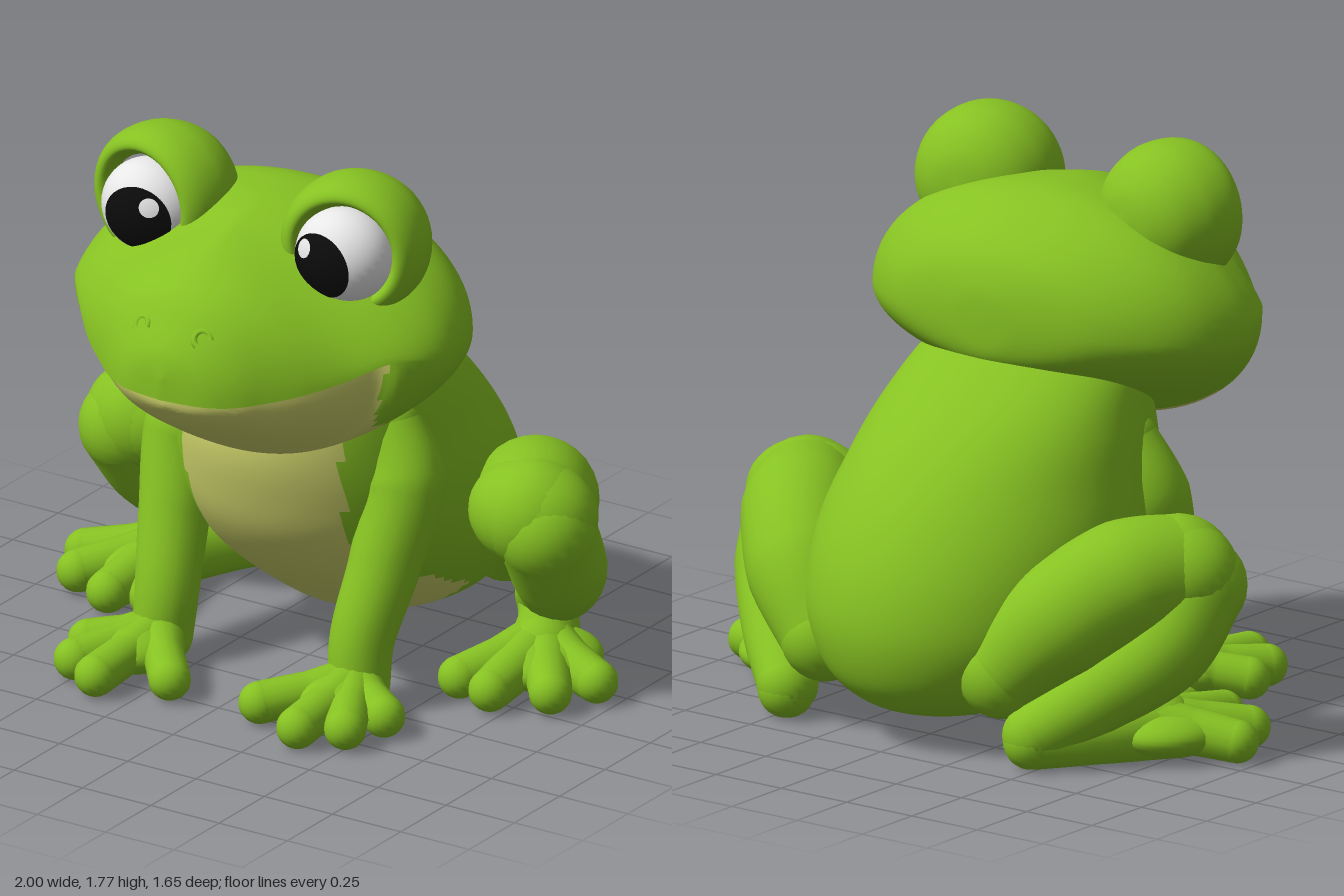
import * as THREE from 'three';
import { mergeGeometries, mergeVertices, toCreasedNormals } from 'three/addons/utils/BufferGeometryUtils.js';

const material = (name, color) => {
  const m = new THREE.MeshStandardMaterial({ color });
  m.name = name;
  return m;
};

// Smoothly resample a table of cross-section rows
function resample(rows, steps) {
  const size = rows[0].length;
  const spline = new THREE.CubicInterpolant(
    new Float32Array(rows.map((_, i) => i)), new Float32Array(rows.flat()), size);
  const count = (rows.length - 1) * steps;
  return Array.from({ length: count + 1 }, (_, i) => Array.from(spline.evaluate(i / steps)));
}

// Skin closed rings of points; isPale(centre, column) picks the second material
function loft(rings, isPale) {
  const n = rings[0].length;
  const faces = [[], []];
  for (let i = 0; i < rings.length - 1; i++) {
    for (let j = 0; j < n; j++) {
      const k = (j + 1) % n;
      const centre = rings[i][j].clone().add(rings[i + 1][k]).multiplyScalar(0.5);
      const a = i * n + j, b = i * n + k;
      faces[isPale(centre, j) ? 1 : 0].push(a, b, b + n, a, b + n, a + n);
    }
  }
  const g = new THREE.BufferGeometry().setFromPoints(rings.flat());
  g.setIndex([...faces[0], ...faces[1]]);
  g.addGroup(0, faces[0].length, 0);
  g.addGroup(faces[0].length, faces[1].length, 1);
  g.computeVertexNormals();
  return g;
}

// Rounded, tapering limb through [x, y, z, radius] points, flattened at the floor
function limb(points, sides = 20) {
  const at = points.map(p => new THREE.Vector3(p[0], p[1], p[2]));
  const curve = new THREE.CatmullRomCurve3(at);
  const segs = points.length * 8;
  const tube = new THREE.TubeGeometry(curve, segs, 1, sides);
  const pos = tube.attributes.position, v = new THREE.Vector3();
  for (let i = 0; i <= segs; i++) {
    const c = curve.getPointAt(i / segs);
    const t = curve.getUtoTmapping(i / segs) * (points.length - 1);
    const k = Math.min(Math.floor(t), points.length - 2);
    const r = THREE.MathUtils.lerp(points[k][3], points[k + 1][3], t - k);
    for (let j = 0; j <= sides; j++) {
      const id = i * (sides + 1) + j;
      v.fromBufferAttribute(pos, id).sub(c).multiplyScalar(r).add(c);
      pos.setXYZ(id, v.x, v.y, v.z);
    }
  }
  const ends = [0, points.length - 1].map(i =>
    new THREE.SphereGeometry(points[i][3], sides, 14).translate(at[i].x, at[i].y, at[i].z));
  let g = mergeGeometries([tube, ...ends]);
  g.deleteAttribute('uv');
  g.deleteAttribute('normal');
  const p = g.attributes.position;
  for (let i = 0; i < p.count; i++) p.setY(i, Math.max(0, p.getY(i)));
  g = mergeVertices(g, 1e-5);
  g.computeVertexNormals();
  return g;
}

export function createModel() {
  const green = material('skin green', 0x86c122);
  const pale = material('belly yellow', 0xcdd26a);
  const white = material('eye white', 0xeeeeee);
  const black = material('pupil black', 0x0b0b0b);
  const model = new THREE.Group();
  model.name = 'frog';
  const add = (name, geometry, mat, parent = model) => {
    const mesh = new THREE.Mesh(geometry, mat);
    mesh.name = name;
    parent.add(mesh);
    return mesh;
  };
  const smooth = THREE.MathUtils.smoothstep;

  // Body: rows of y, front z, back z, half width
  const bodyRows = resample([
    [0.075, -0.4, -0.42, 0], [0.085, -0.26, -0.58, 0.15], [0.125, -0.13, -0.7, 0.27],
    [0.21, 0.0, -0.785, 0.38], [0.35, 0.17, -0.825, 0.47], [0.5, 0.29, -0.81, 0.5],
    [0.65, 0.35, -0.75, 0.495], [0.8, 0.38, -0.65, 0.46], [0.95, 0.36, -0.5, 0.42],
    [1.1, 0.3, -0.28, 0.36], [1.2, 0.2, -0.12, 0.25]], 6);
  const around = 96;
  const bodyRings = bodyRows.map(([y, front, back, w]) => Array.from({ length: around }, (_, j) => {
    const a = j / around * Math.PI * 2;
    return new THREE.Vector3(Math.cos(a) * w, y, (front + back) / 2 - Math.sin(a) * (front - back) / 2);
  }));
  const onBelly = (c, j) => j >= around / 2 && c.z > -0.3 - Math.max(0, 0.15 - c.y)
    && Math.abs(c.x) < 0.29 + 0.1 * (1 - smooth(c.y, 0.28, 0.5));
  add('body', loft(bodyRings, onBelly), [green, pale]);

  // Head: rows of z, half width, top, bottom, mouth height, roundness
  const headRows = resample([
    [-0.25, 0, 1.26, 1.24, 1.25, 2], [-0.24, 0.15, 1.36, 1.14, 1.25, 2],
    [-0.19, 0.36, 1.465, 1.09, 1.24, 2], [-0.08, 0.53, 1.555, 1.04, 1.23, 2],
    [0.05, 0.63, 1.61, 0.98, 1.22, 2], [0.2, 0.665, 1.615, 0.91, 1.22, 1.8],
    [0.32, 0.64, 1.6, 0.855, 1.235, 1.5], [0.42, 0.575, 1.57, 0.835, 1.245, 1.35],
    [0.52, 0.49, 1.535, 0.88, 1.205, 1.5], [0.62, 0.395, 1.49, 0.94, 1.17, 1.8],
    [0.7, 0.3, 1.44, 0.99, 1.148, 2], [0.76, 0.225, 1.36, 1.035, 1.137, 2],
    [0.805, 0.135, 1.28, 1.085, 1.135, 2], [0.825, 0, 1.2, 1.115, 1.135, 2]], 6);
  const half = 40;
  const headRings = headRows.map(([z, w, top, bottom, mid, e]) => {
    const inset = 0.03 * smooth(z, 0.38, 0.46);
    const ring = [];
    for (let j = 0; j <= half; j++) {
      const a = j / half * Math.PI, c = Math.cos(a);
      ring.push(new THREE.Vector3(Math.sign(c) * Math.abs(c) ** (2 / e) * w,
        mid + Math.abs(Math.sin(a)) ** (2 / e) * (top - mid), z));
    }
    // The lower jaw sits just inside the upper lip
    for (let j = 0; j <= half; j++) {
      const a = Math.PI * (1 + j / half);
      ring.push(new THREE.Vector3(Math.cos(a) * w * (1 - inset),
        mid - inset * 0.3 + Math.sin(a) * (mid - bottom), z - inset));
    }
    return ring;
  });
  const onChin = (c, j) => j > half && j < 2 * half + 1
    && Math.abs(c.x) < 0.56 - Math.max(0, 1.22 - c.y) * 0.3
    && c.z > 0.3 + Math.max(0, c.y - 1.05) * 0.45;
  add('head', toCreasedNormals(loft(headRings, onChin), 1), [green, pale]);

  // Eye hood: a dome at the back that curls in around the eyeball at the front
  const hoodProfile = new THREE.SplineCurve([[0, -0.18], [0.1, -0.162], [0.18, -0.108], [0.222, -0.03],
    [0.232, 0.04], [0.224, 0.1], [0.2, 0.138], [0.17, 0.142], [0.145, 0.1]]
    .map(p => new THREE.Vector2(...p))).getPoints(40);
  const hoodShape = new THREE.LatheGeometry(hoodProfile, 48).rotateX(Math.PI / 2);

  for (const s of [1, -1]) {
    const side = s > 0 ? 'left' : 'right';
    const mirror = points => points.map(([x, y, z, r]) => [x * s, y, z, r]);
    const pad = (name, x, y, z, rx, ry, rz) => {
      const mesh = add(side + name, new THREE.SphereGeometry(1, 32, 20), green);
      mesh.position.set(s * x, y, z);
      mesh.scale.set(rx, ry, rz);
    };

    // Eye: hood, eyeball, pupil and glint
    const hood = add(side + 'EyeHood', hoodShape, green);
    hood.position.set(s * 0.345, 1.545, 0.23);
    hood.rotation.y = s * 0.18;
    hood.scale.y = 0.97;
    const eye = new THREE.Group();
    eye.name = side + 'Eye';
    eye.position.set(s * 0.355, 1.53, 0.335);
    eye.scale.set(0.158, 0.148, 0.14);
    model.add(eye);
    add(side + 'Eyeball', new THREE.SphereGeometry(1, 36, 24), white, eye);
    const cap = (name, radius, angle, mat, x, y, z) => {
      const mesh = add(side + name, new THREE.SphereGeometry(radius, 32, 10, 0, Math.PI * 2, 0, angle), mat, eye);
      mesh.quaternion.setFromUnitVectors(new THREE.Vector3(0, 1, 0), new THREE.Vector3(x, y, z).normalize());
    };
    cap('Pupil', 1.015, 0.77, black, -s * 0.17, -0.07, 1);
    cap('Glint', 1.03, 0.2, white, -s * 0.44, 0.29, 0.84);

    // Nostril rim
    const nostril = add(side + 'Nostril', new THREE.TorusGeometry(0.026, 0.011, 8, 20, Math.PI * 1.3), green);
    nostril.position.set(s * 0.11, 1.335, 0.752);
    nostril.lookAt(s * 0.4, 1.9, 1.5);

    // Front leg with four webbed fingers
    add(side + 'FrontLeg', limb(mirror([[0.33, 0.87, 0.05, 0.1], [0.4, 0.7, 0.075, 0.128],
      [0.385, 0.45, 0.16, 0.112], [0.357, 0.22, 0.245, 0.1], [0.36, 0.08, 0.265, 0.095]])), green);
    pad('Palm', 0.37, 0.075, 0.37, 0.13, 0.075, 0.15);
    for (const [x, z] of [[0.54, 0.4], [0.495, 0.545], [0.37, 0.62], [0.165, 0.52]]) {
      add(side + 'Finger', limb(mirror([[0.36, 0.09, 0.29, 0.085],
        [(0.36 + x) / 2, 0.08, (0.29 + z) / 2, 0.064], [x, 0.064, z, 0.066]]), 16), green);
    }

    // Hind leg: thigh, broad knee, shin, foot and four webbed toes
    add(side + 'Thigh', limb(mirror([[0.34, 0.27, -0.58, 0.14], [0.48, 0.43, -0.49, 0.185],
      [0.62, 0.55, -0.32, 0.195], [0.71, 0.57, -0.18, 0.175]]), 28), green);
    pad('Knee', 0.7, 0.57, -0.185, 0.21, 0.17, 0.175);
    add(side + 'Shin', limb(mirror([[0.765, 0.53, -0.16, 0.155], [0.73, 0.36, -0.28, 0.15],
      [0.61, 0.22, -0.45, 0.12], [0.47, 0.1, -0.6, 0.095]]), 24), green);
    add(side + 'Foot', limb(mirror([[0.47, 0.085, -0.605, 0.09], [0.58, 0.085, -0.45, 0.095],
      [0.69, 0.09, -0.25, 0.11]])), green);
    pad('Sole', 0.72, 0.08, -0.22, 0.17, 0.08, 0.2);
    for (const [x, z] of [[0.935, -0.18], [0.865, -0.03], [0.7, 0.055], [0.565, 0.02]]) {
      add(side + 'Toe', limb(mirror([[0.67, 0.1, -0.29, 0.095],
        [(0.68 + x) / 2, 0.085, (z - 0.27) / 2, 0.074], [x, 0.066, z, 0.067]]), 16), green);
    }
  }
  return model;
}
